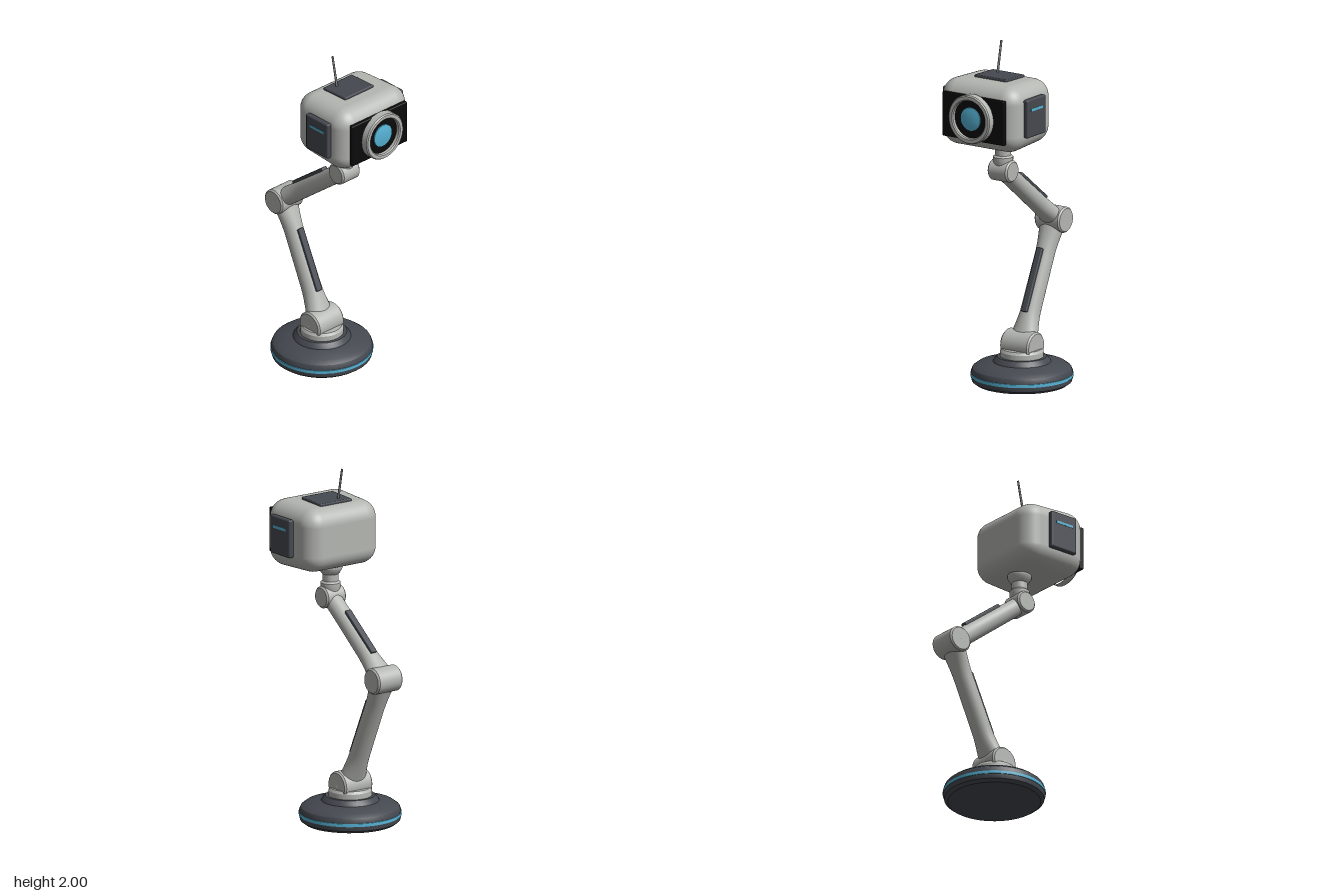
import * as THREE from 'three';
import { toCreasedNormals } from 'three/addons/utils/BufferGeometryUtils.js';
import { RoundedBoxGeometry } from 'three/addons/geometries/RoundedBoxGeometry.js';

const material = (name, color) => new THREE.MeshStandardMaterial({ name, color });

export function createModel() {
  const shell = material('light grey shell', 0xb4b6b2);
  const dark = material('dark grey panel', 0x454950);
  const black = material('black face', 0x0b0b0c);
  const blue = material('blue light', 0x56b4d6);
  const metal = material('antenna metal', 0x7b7d7f);

  const model = new THREE.Group();
  model.name = 'cameraRobotArm';

  function add(parent, name, geometry, mat, x = 0, y = 0, z = 0) {
    const mesh = new THREE.Mesh(geometry, mat);
    mesh.name = name;
    mesh.position.set(x, y, z);
    parent.add(mesh);
    return mesh;
  }
  // Turned solid from [radius, height] pairs, listed bottom to top
  function turned(profile, segments = 36) {
    const points = profile.map(([r, y]) => new THREE.Vector2(r, y));
    return toCreasedNormals(new THREE.LatheGeometry(points, segments), 0.5);
  }
  const panel = (w, h, d, r = 0.006) => new RoundedBoxGeometry(w, h, d, 2, r);

  // Base disc with a light band and a raised collar
  const baseZ = -0.068;
  add(model, 'baseDisc', turned([
    [0, 0], [0.26, 0], [0.28, 0.015], [0.285, 0.035], [0.285, 0.07],
    [0.277, 0.09], [0.25, 0.11], [0.163, 0.126], [0.158, 0.135], [0.14, 0.155], [0, 0.155],
  ]), dark, 0, 0, baseZ);
  add(model, 'baseLightBand', turned([
    [0.28, 0.04], [0.288, 0.042], [0.288, 0.06], [0.28, 0.062],
  ]), blue, 0, 0, baseZ);
  add(model, 'baseCollar', turned([
    [0.122, 0.15], [0.122, 0.185], [0.112, 0.2], [0, 0.2],
  ]), shell, 0, 0, baseZ);

  // Joints: chamfered drums lying across the arm
  const joints = {
    shoulder: { y: 0.218, z: -0.07, r: 0.084, half: 0.097 },
    elbow: { y: 0.885, z: -0.377, r: 0.074, half: 0.085 },
    wrist: { y: 1.265, z: 0.115, r: 0.063, half: 0.067 },
  };
  for (const [name, { y, z, r, half }] of Object.entries(joints)) {
    const c = 0.009;
    const drum = turned([
      [0, -half], [r - c, -half], [r, -half + c], [r, half - c], [r - c, half], [0, half],
    ], 32);
    add(model, name + 'Joint', drum, shell, 0, y, z).rotation.z = Math.PI / 2;
  }

  // Arm segments: tubes that flare sideways into their joints, each with an inlay
  function arm(name, from, to, radius, flare, side, inlayAt, inlayLength) {
    const dy = to.y - from.y, dz = to.z - from.z;
    const length = Math.hypot(dy, dz);
    const group = new THREE.Group();
    group.name = name;
    group.position.set(0, from.y, from.z);
    group.rotation.x = Math.atan2(dz, dy);
    model.add(group);
    const tube = new THREE.CylinderGeometry(radius, radius * 1.08, length, 28, 24, true);
    tube.translate(0, length / 2, 0);
    const p = tube.attributes.position;
    for (let i = 0; i < p.count; i++) {
      const y = p.getY(i);
      const bottom = Math.max(0, 1 - y / 0.2), top = Math.max(0, 1 - (length - y) / 0.2);
      p.setX(i, p.getX(i) * (1 + flare[0] * bottom ** 1.5 + flare[1] * top ** 1.5));
    }
    add(group, name + 'Tube', toCreasedNormals(tube, 0.6), shell);
    add(group, name + 'Inlay', panel(0.038, inlayLength, 0.03), dark, 0, inlayAt, side * (radius + 0.001));
  }
  arm('lowerArm', joints.shoulder, joints.elbow, 0.054, [0.7, 0.6], 1, 0.362, 0.37);
  arm('upperArm', joints.elbow, joints.wrist, 0.05, [0.6, 0.1], -1, 0.308, 0.31);

  // Neck between wrist and head
  add(model, 'neck', turned([
    [0, 1.29], [0.052, 1.3], [0.057, 1.325], [0.057, 1.345], [0.045, 1.355], [0.045, 1.395],
    [0.055, 1.405], [0.068, 1.43], [0.068, 1.46], [0, 1.46],
  ], 28), shell, 0, 0, 0.115);

  // Head: rounded box narrowing slightly toward the back
  const head = new THREE.Group();
  head.name = 'head';
  head.position.set(0, 1.625, 0.177);
  model.add(head);
  const headBox = new RoundedBoxGeometry(0.53, 0.382, 0.425, 5, 0.1);
  const hp = headBox.attributes.position;
  for (let i = 0; i < hp.count; i++) {
    const t = Math.max(0, 0.1 - hp.getZ(i)) / 0.31;
    hp.setX(i, hp.getX(i) * (1 - 0.06 * t));
    hp.setY(i, hp.getY(i) * (1 - 0.06 * t));
  }
  add(head, 'headShell', headBox, shell);
  add(head, 'facePlate', panel(0.42, 0.256, 0.026), black, 0, -0.002, 0.217);

  // Camera eye: ring, dark bezel and glowing lens
  const eye = new THREE.Group();
  eye.name = 'eye';
  eye.position.set(0, 0, 0.225);
  eye.rotation.x = Math.PI / 2;
  head.add(eye);
  add(eye, 'eyeRing', turned([
    [0.14, 0], [0.14, 0.042], [0.134, 0.049], [0.115, 0.049], [0.109, 0.043], [0.109, 0],
  ], 40), shell);
  add(eye, 'eyeBezel', turned([[0.112, 0], [0.112, 0.025], [0, 0.025]], 40), black);
  add(eye, 'eyeLens', turned([[0.067, 0.024], [0.066, 0.03], [0.04, 0.035], [0, 0.037]], 32), blue);

  // Side pods with a light strip each
  for (const [name, s] of [['left', 1], ['right', -1]]) {
    add(head, name + 'SidePod', panel(0.034, 0.22, 0.18, 0.01), dark, s * 0.275, 0.01, 0.023);
    add(head, name + 'SideLight', new THREE.BoxGeometry(0.006, 0.015, 0.115), blue, s * 0.291, 0.058, 0.024);
  }

  // Top hatch and antenna leaning back
  add(head, 'topHatch', panel(0.218, 0.024, 0.18), dark, 0, 0.188, -0.027).rotation.x = -0.04;
  const antenna = add(model, 'antenna', new THREE.CylinderGeometry(0.006, 0.007, 0.2, 12), metal, -0.045, 1.901, 0.087);
  antenna.rotation.x = -0.2;

  return model;
}
